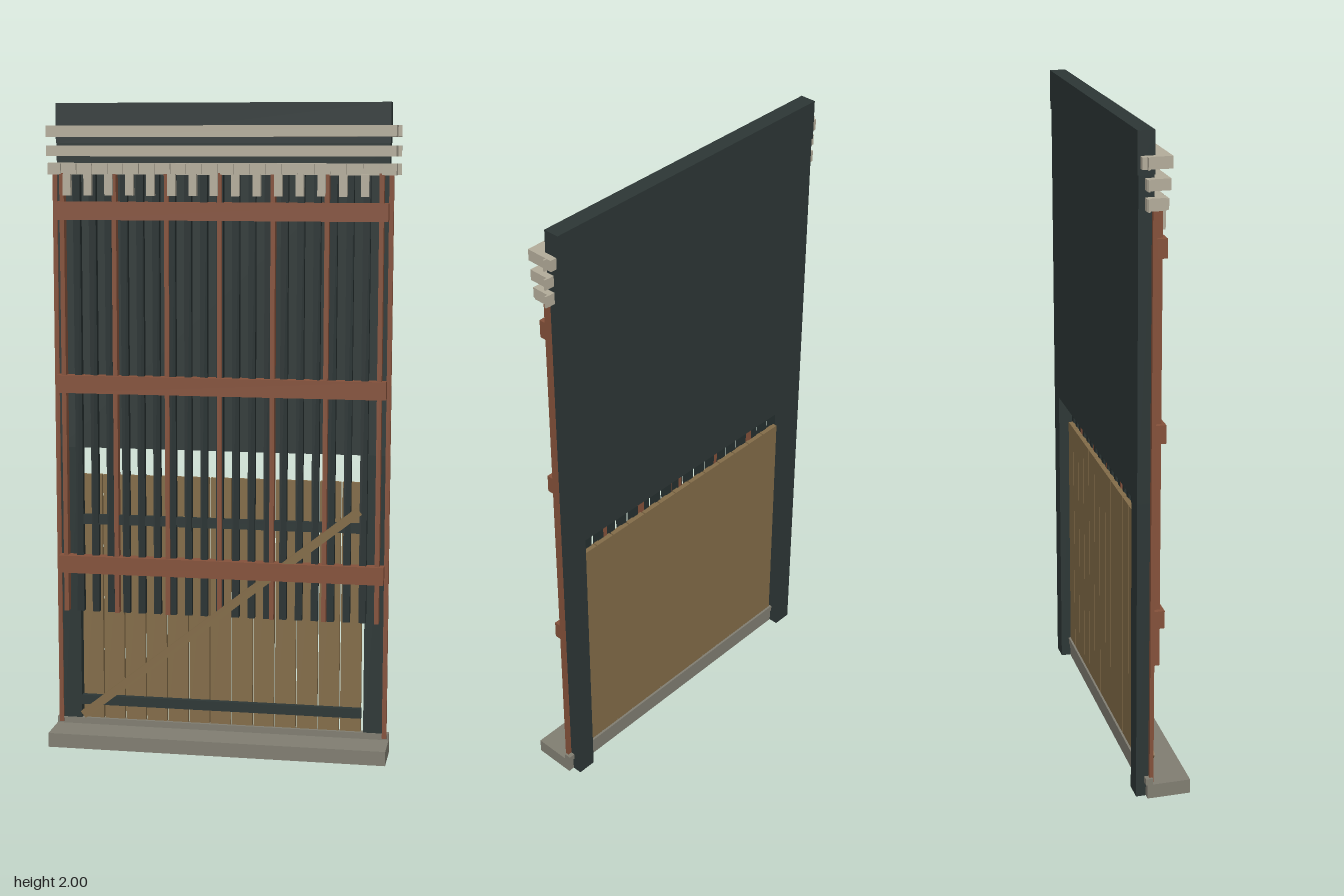
import * as THREE from 'three';

const mat = (name, color) => {
  const m = new THREE.MeshStandardMaterial({ color });
  m.name = name;
  return m;
};

export function createModel() {
  const root = new THREE.Group();
  root.name = 'panelledGateWall';
  const slate = mat('dark slate', 0x2d3736);
  const batten = mat('deep slate', 0x263030);
  const copper = mat('red brown', 0x86523b);
  const cream = mat('cream', 0xb5ae9c);
  const timber = mat('tan timber', 0x846d49);
  const stone = mat('stone grey', 0x827f73);

  // Box given by its limits on each axis
  const box = (name, m, x0, x1, y0, y1, z0, z1, parent = root) => {
    const mesh = new THREE.Mesh(new THREE.BoxGeometry(x1 - x0, y1 - y0, z1 - z0), m);
    mesh.position.set((x0 + x1) / 2, (y0 + y1) / 2, (z0 + z1) / 2);
    mesh.name = name;
    parent.add(mesh);
    return mesh;
  };
  const group = (name) => {
    const g = new THREE.Group();
    g.name = name;
    root.add(g);
    return g;
  };

  // Wall with an open doorway, and the parapet board above
  const wall = group('wall');
  box('upperWall', slate, -0.51, 0.51, 0.94, 1.88, -0.08, -0.035, wall);
  box('parapet', slate, -0.512, 0.512, 1.88, 2, -0.083, -0.034, wall);
  for (const s of [-1, 1]) {
    const [a, b] = s < 0 ? [-0.51, -0.45] : [0.45, 0.51];
    box('jamb', slate, a, b, 0, 0.94, -0.08, -0.035, wall);
    box('edgeTrim', copper, s * 0.516 - 0.007, s * 0.516 + 0.007, 0.05, 1.79, -0.042, -0.03, wall);
  }

  // Stone step and sill
  box('step', stone, -0.53, 0.53, 0, 0.045, -0.05, 0.082);
  box('sill', stone, -0.53, 0.53, 0.045, 0.065, -0.055, -0.033);

  // Plank door
  const door = group('door');
  const planks = 13;
  const pitch = 0.888 / planks;
  for (let i = 0; i < planks; i++) {
    const x = -0.444 + i * pitch;
    box('plank', timber, x + 0.002, x + pitch - 0.002, 0.068, 0.855, -0.05, -0.034, door);
  }
  for (const y of [0.115, 0.7]) {
    box('doorRail', slate, -0.445, 0.445, y, y + 0.03, -0.035, -0.016, door);
  }
  // Diagonal brace
  const dx = 0.88, dy = 0.695;
  const brace = box('brace', timber, -0.555, 0.555, -0.013, 0.013, -0.02, -0.004, door);
  brace.position.set(-0.003, 0.427, -0.012);
  brace.rotation.z = Math.atan2(dy, dx);

  // Dark vertical slats
  const slats = group('slats');
  for (let i = -9; i <= 9; i++) {
    const x = i * 0.0494;
    box('slat', batten, x - 0.011, x + 0.011, 0.42, 1.79, -0.036, -0.014, slats);
  }

  // Red brown uprights and cross rails
  const frame = group('frame');
  for (let i = -3; i <= 3; i++) {
    const x = i * 0.163;
    box('upright', copper, x - 0.007, x + 0.007, 0.42, 1.79, -0.036, -0.007, frame);
  }
  for (const y of [0.545, 1.115, 1.648]) {
    box('crossRail', copper, -0.51, 0.51, y, y + 0.055, -0.034, 0.004, frame);
  }

  // Cornice mouldings with thin end plates
  const cornice = group('cornice');
  const mouldings = [
    [1.898, 1.932, -0.075, 0.01],
    [1.84, 1.872, -0.062, 0.005],
    [1.785, 1.82, -0.062, -0.008],
  ];
  for (const [y0, y1, z0, z1] of mouldings) {
    box('moulding', cream, -0.532, 0.532, y0, y1, -0.034, z1, cornice);
    for (const s of [-1, 1]) {
      const [a, b] = s < 0 ? [-0.532, -0.512] : [0.512, 0.532];
      box('mouldingReturn', cream, a, b, y0, y1, z0, -0.034, cornice);
      box('endPlate', cream, s * 0.537 - 0.006, s * 0.537 + 0.006, y0, y1, -0.061, -0.056, cornice);
    }
  }

  // Dentil row and hanging brackets
  for (let i = 0; i < 22; i++) {
    const x = -0.51 + i * (1.02 / 21);
    box('dentil', cream, x - 0.02, x + 0.02, 1.787, 1.818, -0.012, 0.0, cornice);
  }
  for (let i = 0; i < 15; i++) {
    const x = -0.47 + i * 0.065;
    box('bracket', cream, x - 0.012, x + 0.012, 1.722, 1.787, -0.014, 0.005, cornice);
  }

  return root;
}
